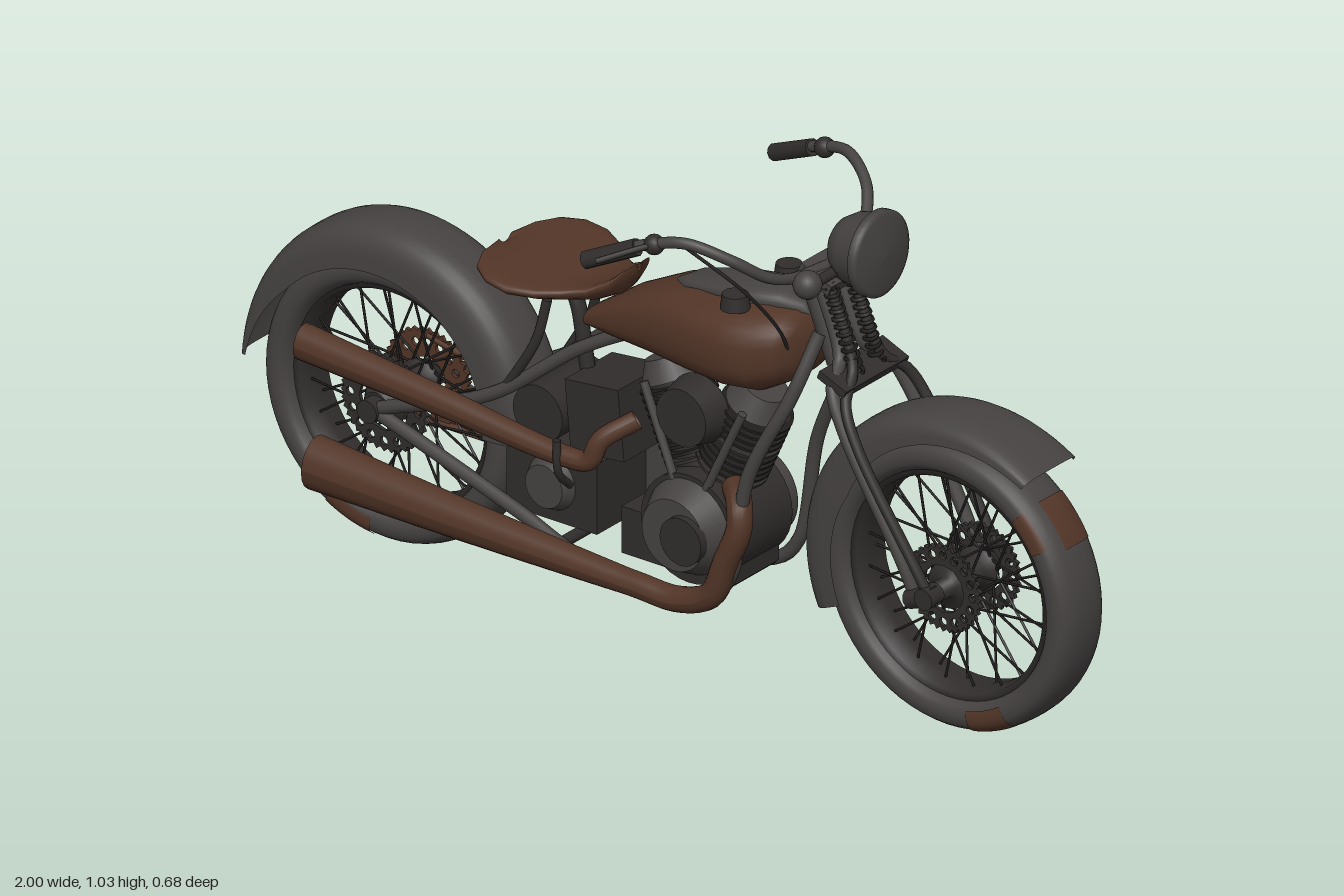
import * as THREE from 'three';
import { mergeGeometries } from 'three/addons/utils/BufferGeometryUtils.js';

const V = (x, y, z) => new THREE.Vector3(x, y, z);
const paint = (name, color) => {
  const m = new THREE.MeshStandardMaterial({ color, side: THREE.DoubleSide });
  m.name = name;
  return m;
};

export function createModel() {
  const steel = paint('worn steel', 0x454241), rust = paint('rust brown', 0x523527);
  const dark = paint('dark metal', 0x302d2c), black = paint('black iron', 0x201e1d);
  const bike = new THREE.Group();
  bike.name = 'motorcycle';
  bike.position.z = -0.027;

  // ---- helpers ----
  const add = (name, geo, mat, x = 0, y = 0, z = 0, parent = bike) => {
    const m = new THREE.Mesh(geo, mat);
    m.name = name;
    m.position.set(x, y, z);
    parent.add(m);
    return m;
  };
  const curve = pts => new THREE.CatmullRomCurve3(pts.map(p => V(...p)), false, 'centripetal');
  const tube = (name, pts, r, mat, seg = 40) => add(name, new THREE.TubeGeometry(curve(pts), seg, r, 10), mat);
  const rodGeo = (a, b, r, sides = 10) => {
    const d = V(...b).sub(V(...a));
    const g = new THREE.CylinderGeometry(r, r, d.length(), sides);
    g.applyQuaternion(new THREE.Quaternion().setFromUnitVectors(V(0, 1, 0), d.clone().normalize()));
    return g.translate((a[0] + b[0]) / 2, (a[1] + b[1]) / 2, (a[2] + b[2]) / 2);
  };
  const rod = (name, a, b, r, mat) => add(name, rodGeo(a, b, r), mat);
  const disc = (name, x, y, z, r, depth, mat, r2 = r) =>
    add(name, new THREE.CylinderGeometry(r2, r, depth, 32).rotateX(Math.PI / 2), mat, x, y, z);
  const latheZ = (pts, seg = 64, start = 0, len = Math.PI * 2) =>
    new THREE.LatheGeometry(pts.map(p => new THREE.Vector2(...p)), seg, start, len).rotateX(Math.PI / 2);
  const loft = (rows, closed) => {
    const n = rows[0].length, pos = rows.flat().flatMap(v => [v.x, v.y, v.z]), idx = [];
    for (let i = 0; i < rows.length - 1; i++) for (let j = 0; j < (closed ? n : n - 1); j++) {
      const k = (j + 1) % n, a = i * n + j, b = i * n + k, c = a + n, d = b + n;
      idx.push(a, b, c, b, d, c);
    }
    const g = new THREE.BufferGeometry();
    g.setAttribute('position', new THREE.Float32BufferAttribute(pos, 3));
    g.setIndex(idx);
    g.computeVertexNormals();
    return g;
  };
  const spow = (v, e) => Math.sign(v) * Math.abs(v) ** e;
  // Rounded body along x from stations [x, bottom, top, halfWidth]; lift raises the edges
  const body = (stations, e, lift = 0) => loft(stations.map(([x, b, t, w]) =>
    Array.from({ length: 32 }, (_, i) => {
      const a = -i / 32 * Math.PI * 2, z = spow(Math.cos(a), e);
      return V(x, (b + t) / 2 + (t - b) / 2 * spow(Math.sin(a), e) + lift * z * z, w * z);
    })), true);

  // ---- wheels ----
  const tyre = (hw, grow = 0, a0 = -Math.PI, a1 = Math.PI) => Array.from({ length: 25 }, (_, i) => {
    const a = a0 + (a1 - a0) * i / 24;
    return [0.268 + (0.037 + grow) * spow(Math.cos(a), 0.8), (hw + grow) * spow(Math.sin(a), 0.8)];
  });
  const wheel = (name, cx, hw, patches) => {
    const g = new THREE.Group();
    g.name = name;
    g.position.set(cx, 0.305, 0);
    bike.add(g);
    add('tyre', latheZ(tyre(hw)), steel, 0, 0, 0, g);
    add('rim', latheZ([[0.226, -0.045], [0.25, -0.05], [0.25, 0.05], [0.226, 0.045], [0.22, 0], [0.226, -0.045]]), dark, 0, 0, 0, g);
    for (const [from, len, a0, a1] of patches)
      add('rustPatch', latheZ(tyre(hw, 0.002, a0, a1), 12, from + Math.PI / 2, len), rust, 0, 0, 0, g);
    const spokes = [];
    for (let i = 0; i < 40; i++) {
      const s = i % 2 ? 1 : -1, a = i / 40 * Math.PI * 2, h = a + (i % 4 < 2 ? 0.9 : -0.9);
      spokes.push(rodGeo([0.04 * Math.cos(h), 0.04 * Math.sin(h), 0.045 * s],
        [0.226 * Math.cos(a), 0.226 * Math.sin(a), 0.012 * s], 0.0028, 5));
    }
    add('spokes', mergeGeometries(spokes), black, 0, 0, 0, g);
    add('hub', latheZ([[0, -0.09], [0.02, -0.09], [0.02, -0.055], [0.048, -0.05], [0.048, -0.04], [0.028, -0.03],
      [0.028, 0.03], [0.048, 0.04], [0.048, 0.05], [0.02, 0.055], [0.02, 0.09], [0, 0.09]], 24), dark, 0, 0, 0, g);
    return g;
  };
  // Perforated toothed plate
  const plate = (name, R, hole, mat, z, parent) => {
    const s = new THREE.Shape();
    for (let i = 0; i < 72; i++) {
      const a = i / 72 * Math.PI * 2, r = R - (i % 2) * 0.008;
      s[i ? 'lineTo' : 'moveTo'](r * Math.cos(a), r * Math.sin(a));
    }
    s.holes.push(new THREE.Path().absarc(0, 0, hole, 0, Math.PI * 2, true));
    for (let i = 0; i < 16; i++) {
      const a = i / 16 * Math.PI * 2, m = (R + hole) / 2;
      s.holes.push(new THREE.Path().absarc(m * Math.cos(a), m * Math.sin(a), 0.009, 0, Math.PI * 2, true));
    }
    add(name, new THREE.ExtrudeGeometry(s, { depth: 0.008, bevelEnabled: false, curveSegments: 6 }), mat, 0, 0, z, parent);
  };
  const fw = wheel('frontWheel', 0.7, 0.068, [[0.5, 0.35, -0.9, 0.3], [-1.35, 0.35, 0.6, 1.9], [0.55, 0.3, 1.0, 1.9], [3.9, 0.3, -1.9, -0.8]]);
  const rw = wheel('rearWheel', -0.655, 0.074, [[4.2, 0.4, 0.7, 1.8], [-0.9, 0.35, -1.8, -0.8]]);
  plate('brakeDisc', 0.092, 0.05, dark, 0.058, fw);
  plate('brakeDisc', 0.092, 0.05, dark, -0.066, fw);
  plate('brakeDisc', 0.105, 0.06, dark, 0.062, rw);
  plate('sprocket', 0.105, 0.045, rust, -0.075, rw);
  disc('rearHubCover', -0.655, 0.305, 0.08, 0.05, 0.03, dark, 0.03);

  // ---- fenders: arched section swept about the axle ----
  const fender = (name, cx, a0, a1, hw, outer, inner) => add(name, loft(Array.from({ length: 49 }, (_, i) => {
    const u = i / 48, a = THREE.MathUtils.degToRad(a0 + (a1 - a0) * u);
    return Array.from({ length: 17 }, (_, j) => {
      const p = j / 16 * Math.PI, r = inner(u) + (outer(u) - inner(u)) * Math.sin(p) ** 0.6;
      return V(cx + r * Math.cos(a), 0.305 + r * Math.sin(a), hw * spow(Math.cos(p), 0.7));
    });
  }), false), steel);
  fender('frontFender', 0.7, 54, 203, 0.083, u => 0.366 - 0.02 * u, u => 0.345 - 0.085 * Math.min(1, u * 1.6));
  fender('rearFender', -0.655, 0, 178, 0.086, u => 0.345 + 0.025 * Math.sin(u * Math.PI),
    u => 0.25 + 0.05 * u + 0.025 * Math.max(0, u - 0.8) * 5);

  // ---- tank, console and seat ----
  add('fuelTank', body([[-0.2, 0.6, 0.61, 0.01], [-0.19, 0.592, 0.628, 0.045], [-0.1, 0.592, 0.69, 0.075], [0, 0.592, 0.74, 0.1],
    [0.1, 0.592, 0.766, 0.128], [0.2, 0.592, 0.778, 0.144], [0.27, 0.6, 0.78, 0.138], [0.315, 0.625, 0.772, 0.11],
    [0.335, 0.65, 0.755, 0.075], [0.343, 0.69, 0.72, 0.01]], 0.75), rust);
  add('tankConsole', body([[0.01, 0.73, 0.745, 0.01], [0.05, 0.73, 0.768, 0.04], [0.14, 0.75, 0.79, 0.06],
    [0.22, 0.75, 0.803, 0.062], [0.28, 0.75, 0.803, 0.045], [0.32, 0.74, 0.785, 0.02], [0.33, 0.74, 0.76, 0.005]], 0.8), steel);
  for (const s of [-1, 1]) add('fuelCap', new THREE.CylinderGeometry(0.026, 0.03, 0.03, 24), dark, 0.21, 0.785, 0.085 * s);
  add('seat', body([[-0.414, 0.69, 0.695, 0.02], [-0.405, 0.682, 0.7, 0.085], [-0.38, 0.67, 0.705, 0.135], [-0.34, 0.66, 0.705, 0.162],
    [-0.29, 0.652, 0.698, 0.165], [-0.24, 0.65, 0.69, 0.14], [-0.2, 0.65, 0.688, 0.105], [-0.16, 0.655, 0.693, 0.078],
    [-0.12, 0.675, 0.715, 0.062], [-0.098, 0.705, 0.733, 0.045], [-0.088, 0.728, 0.735, 0.01]], 0.85, 0.014), rust);
  tube('seatPost', [[-0.27, 0.665, 0], [-0.24, 0.62, 0], [-0.22, 0.52, 0], [-0.2, 0.4, 0]], 0.016, dark);

  // ---- frame ----
  for (const s of [-1, 1]) {
    tube('cradleTube', [[0.37, 0.74, 0.025 * s], [0.345, 0.62, 0.08 * s], [0.26, 0.43, 0.11 * s], [0.215, 0.2, 0.11 * s],
      [0.15, 0.14, 0.11 * s], [-0.15, 0.14, 0.108 * s], [-0.3, 0.19, 0.105 * s], [-0.655, 0.305, 0.105 * s]], 0.014, steel, 70);
    tube('upperStay', [[-0.655, 0.305, 0.105 * s], [-0.37, 0.42, 0.1 * s], [-0.18, 0.56, 0.055 * s], [-0.03, 0.63, 0.02 * s], [0.34, 0.72, 0]], 0.014, steel);
    tube('fenderStay', [[-0.34, 0.44, 0.095 * s], [-0.27, 0.56, 0.09 * s], [-0.25, 0.65, 0.08 * s]], 0.01, dark);
    disc('axleNut', -0.655, 0.305, 0.11 * s, 0.024, 0.03, dark);
  }
  rod('frontCrossTube', [0.16, 0.15, -0.11], [0.16, 0.15, 0.11], 0.012, dark);
  rod('rearCrossTube', [-0.2, 0.15, -0.12], [-0.2, 0.15, 0.12], 0.012, dark);
  rod('steeringHead', [0.335, 0.84, 0], [0.4, 0.68, 0], 0.028, steel);

  // ---- springer fork ----
  const coil = (a, b, r, turns) => {
    const n = turns * 10, pts = [];
    for (let i = 0; i <= n; i++) {
      const t = i / n, w = t * turns * Math.PI * 2;
      pts.push([a[0] + (b[0] - a[0]) * t + r * Math.cos(w), a[1] + (b[1] - a[1]) * t, a[2] + r * Math.sin(w)]);
    }
    return new THREE.TubeGeometry(curve(pts), n, 0.0045, 5);
  };
  for (const s of [-1, 1]) {
    tube('rearForkLeg', [[0.37, 0.86, 0.03 * s], [0.43, 0.71, 0.04 * s], [0.45, 0.67, 0.09 * s], [0.49, 0.6, 0.108 * s],
      [0.63, 0.36, 0.105 * s], [0.66, 0.29, 0.1 * s]], 0.014, steel);
    tube('frontForkLeg', [[0.4, 0.86, 0.035 * s], [0.465, 0.7, 0.045 * s], [0.49, 0.65, 0.1 * s], [0.53, 0.58, 0.118 * s],
      [0.67, 0.36, 0.115 * s], [0.7, 0.305, 0.11 * s]], 0.011, dark);
    rod('rocker', [0.65, 0.285, 0.108 * s], [0.715, 0.31, 0.108 * s], 0.02, dark);
    add('forkSpring', coil([0.4, 0.855, 0.034 * s], [0.465, 0.69, 0.034 * s], 0.014, 11), black);
    disc('frontAxleNut', 0.7, 0.305, 0.11 * s, 0.022, 0.04, dark);
  }
  add('lowerForkPlate', new THREE.BoxGeometry(0.07, 0.018, 0.2), dark, 0.455, 0.682, 0).rotation.z = -0.4;
  add('upperForkClamp', new THREE.BoxGeometry(0.08, 0.024, 0.1), steel, 0.375, 0.865, 0).rotation.z = -0.4;

  // ---- headlight and side lamps ----
  const lamp = add('headlight', new THREE.LatheGeometry([[0, -0.062], [0.03, -0.058], [0.055, -0.04], [0.072, -0.01], [0.08, 0.03],
    [0.088, 0.034], [0.088, 0.05], [0.078, 0.053], [0.04, 0.06], [0, 0.063]].map(p => new THREE.Vector2(...p)), 40).rotateZ(-Math.PI / 2), steel, 0.45, 0.935, 0);
  lamp.rotation.z = 0.05;
  rod('lampBracket', [0.385, 0.86, 0], [0.44, 0.88, 0], 0.018, dark);
  rod('sideLampBar', [0.41, 0.885, -0.12], [0.41, 0.885, 0.12], 0.011, dark);
  for (const s of [-1, 1]) add('sideLamp', new THREE.SphereGeometry(0.029, 20, 14), steel, 0.41, 0.89, 0.117 * s);

  // ---- handlebars ----
  for (const s of [-1, 1]) {
    tube('handlebar', [[0.37, 0.875, 0], [0.355, 0.88, 0.1 * s], [0.34, 0.9, 0.155 * s], [0.3, 0.945, 0.213 * s],
      [0.22, 0.976, 0.257 * s], [0.13, 0.953, 0.275 * s], [0.1, 0.94, 0.28 * s]], 0.0115, steel);
    rod('grip', [0.12, 0.947, 0.277 * s], [0.01, 0.895, 0.3 * s], 0.018, dark);
    add('switchClamp', new THREE.SphereGeometry(0.021, 14, 10), dark, 0.155, 0.96, 0.27 * s);
  }
  tube('lever', [[0.17, 0.965, 0.26], [0.14, 0.958, 0.3], [0.08, 0.935, 0.357]], 0.006, dark);
  tube('cable', [[0.2, 0.965, 0.245], [0.3, 0.86, 0.17], [0.33, 0.76, 0.1], [0.33, 0.7, 0.07]], 0.0035, black);

  // ---- engine ----
  disc('crankcase', 0.1, 0.265, 0, 0.115, 0.18, dark);
  disc('timingCover', 0.1, 0.27, 0.115, 0.1, 0.05, steel, 0.075);
  disc('timingCap', 0.13, 0.27, 0.145, 0.05, 0.02, dark);
  add('engineBase', new THREE.BoxGeometry(0.26, 0.1, 0.16), dark, 0.06, 0.21, 0);
  for (const s of [-1, 1]) {
    const cyl = new THREE.Group();
    cyl.name = s > 0 ? 'frontCylinder' : 'rearCylinder';
    cyl.position.set(0.1, 0.3, 0);
    cyl.rotation.z = -0.42 * s;
    bike.add(cyl);
    add('barrel', new THREE.CylinderGeometry(0.052, 0.055, 0.25, 24), dark, 0, 0.13, 0, cyl);
    for (let i = 0; i < 10; i++)
      add('fin', new THREE.CylinderGeometry(0.075, 0.075, 0.006, 28), i % 5 ? black : dark, 0, 0.095 + i * 0.016, 0, cyl);
    add('cylinderHead', new THREE.CylinderGeometry(0.045, 0.068, 0.045, 24), steel, 0, 0.275, 0, cyl);
    rod('pushrod', [0.1 + 0.03 * s, 0.34, 0.085], [0.1 + 0.12 * s, 0.54, 0.075], 0.009, steel);
  }
  disc('airCleaner', 0.105, 0.515, 0.09, 0.072, 0.06, dark, 0.06);
  rod('intake', [0.1, 0.5, 0], [0.1, 0.5, 0.08], 0.03, dark);

  // ---- gearbox, battery and primary drive ----
  add('gearbox', new THREE.BoxGeometry(0.22, 0.15, 0.16), dark, -0.24, 0.255, 0);
  disc('gearboxCover', -0.24, 0.26, 0.09, 0.06, 0.03, steel, 0.045);
  add('battery', new THREE.BoxGeometry(0.13, 0.15, 0.15), dark, -0.14, 0.42, 0).rotation.z = 0.1;
  disc('oilTank', -0.27, 0.4, 0, 0.06, 0.17, dark);
  const stadium = new THREE.Shape();
  stadium.absarc(0.1, 0.265, 0.085, -Math.PI / 2, Math.PI / 2, false);
  stadium.absarc(-0.24, 0.265, 0.075, Math.PI / 2, Math.PI * 1.5, false);
  add('primaryCover', new THREE.ExtrudeGeometry(stadium, { depth: 0.04, bevelSize: 0.012, bevelThickness: 0.012, bevelSegments: 3, curveSegments: 20 }), steel, 0, 0, -0.127);
  disc('clutchCover', -0.22, 0.265, -0.142, 0.04, 0.014, dark, 0.052);
  disc('crankCover', 0.09, 0.265, -0.142, 0.045, 0.014, dark, 0.056);
  for (const y of [0.215, 0.395]) rod('driveChain', [-0.655, y, -0.071], [-0.25, 0.26 + (y - 0.305) * 0.5, -0.071], 0.008, rust);
  tube('kickArm', [[-0.18, 0.28, 0.1], [-0.17, 0.33, 0.15], [-0.17, 0.4, 0.155]], 0.008, dark);

  // ---- exhausts: tubes whose radius swells into a taller tail ----
  const exhaust = (name, pts, pipe, tail, end) => {
    const path = curve(pts), seg = 80, g = new THREE.TubeGeometry(path, seg, pipe, 16), p = g.attributes.position;
    const tailShape = (f, v, c) => v.set(c.x + (v.x - c.x) * f, c.y + (v.y - c.y) * f, c.z + (v.z - c.z) * (1 + (f - 1) * 0.65));
    for (let i = 0; i < p.count; i++) {
      const u = Math.floor(i / 17) / seg, f = 1 + (tail / pipe - 1) * Math.max(0, 1 - u / end);
      const v = tailShape(f, V(0, 0, 0).fromBufferAttribute(p, i), path.getPointAt(u));
      p.setXYZ(i, v.x, v.y, v.z);
    }
    g.computeVertexNormals();
    add(name, g, rust);
    const cap = add(name + 'Opening', new THREE.CircleGeometry(tail * 0.97, 20).rotateY(-Math.PI / 2), black, pts[0][0] + 0.012, pts[0][1], pts[0][2]);
    cap.scale.z = 0.75;
  };
  exhaust('lowerExhaust', [[-0.755, 0.182, 0.158], [-0.4, 0.158, 0.148], [0, 0.132, 0.128], [0.1, 0.127, 0.122], [0.18, 0.16, 0.122],
    [0.215, 0.24, 0.122], [0.245, 0.32, 0.118], [0.235, 0.365, 0.105], [0.19, 0.37, 0.06]], 0.026, 0.057, 0.6);
  exhaust('upperExhaust', [[-0.785, 0.432, 0.158], [-0.45, 0.396, 0.148], [-0.16, 0.36, 0.135], [-0.11, 0.365, 0.13],
    [-0.09, 0.41, 0.12], [-0.04, 0.45, 0.07]], 0.02, 0.039, 0.85);

  return bike;
}
